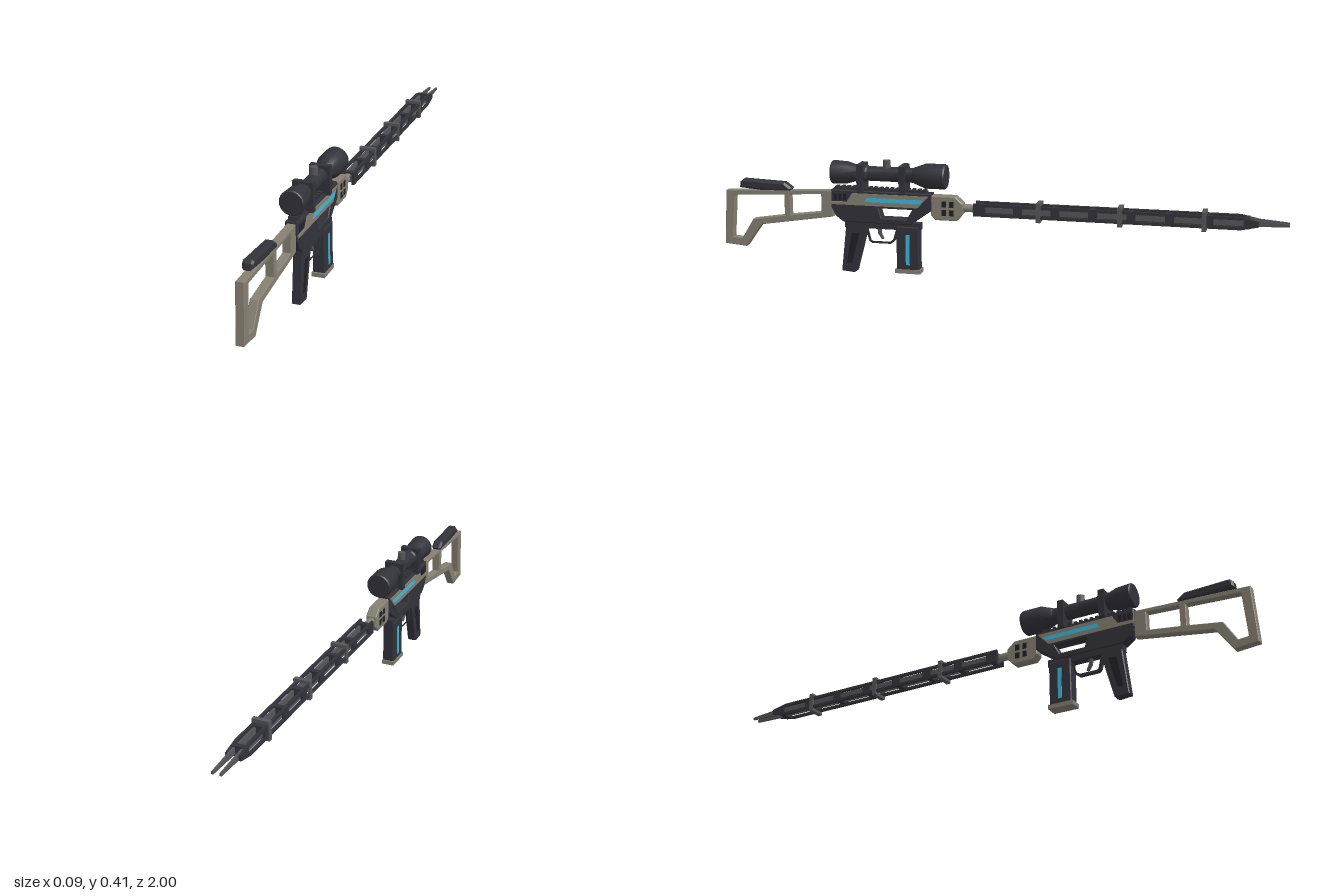
import * as THREE from 'three';
import { toCreasedNormals } from 'three/addons/utils/BufferGeometryUtils.js';

export function createModel() {
  const root = new THREE.Group();
  root.name = 'rifle';
  const mat = (name, color) => {
    const m = new THREE.MeshStandardMaterial({ color });
    m.name = name;
    return m;
  };
  const dark = mat('charcoal', 0x32323a);
  const tan = mat('warm grey', 0x868072);
  const steel = mat('steel grey', 0x56565a);
  const black = mat('recess black', 0x202026);
  const cyan = mat('cyan glow', 0x3cb8dc);

  const add = (name, geo, m, x = 0, y = 0, z = 0) => {
    const mesh = new THREE.Mesh(geo, m);
    mesh.name = name;
    mesh.position.set(x, y, z);
    root.add(mesh);
    return mesh;
  };
  const box = (name, m, w, h, d, x, y, z) => add(name, new THREE.BoxGeometry(w, h, d), m, x, y, z);
  const toShape = (pts, holes = []) => {
    const s = new THREE.Shape(pts.map(p => new THREE.Vector2(...p)));
    for (const h of holes) s.holes.push(new THREE.Path(h.map(p => new THREE.Vector2(...p))));
    return s;
  };
  // Side profile given as [z, y], extruded to a total width along x
  const slab = (name, m, width, pts, holes = [], x = 0, bevel = 0) => {
    const depth = width - 2 * bevel;
    const geo = new THREE.ExtrudeGeometry(toShape(pts, holes), {
      depth, bevelEnabled: bevel > 0, bevelSize: bevel, bevelOffset: -bevel,
      bevelThickness: bevel, bevelSegments: 1,
    });
    geo.translate(0, 0, -depth / 2);
    geo.rotateY(-Math.PI / 2);
    return add(name, geo, m, x);
  };
  const rect = (z0, z1, y0, y1) => [[z0, y0], [z1, y0], [z1, y1], [z0, y1]];
  const bothSides = fn => [-1, 1].forEach(fn);
  // Lathe around z, profile given as [radius, z]
  const turned = (name, m, profile, y, segments = 24) => {
    const geo = new THREE.LatheGeometry(profile.map(p => new THREE.Vector2(...p)), segments);
    geo.rotateX(Math.PI / 2);
    return add(name, toCreasedNormals(geo, 0.5), m, 0, y);
  };

  // Skeleton stock
  slab('stock', tan, 0.029,
    [[0.987, 0.278], [1, 0.08], [0.918, 0.073], [0.858, 0.157], [0.585, 0.2], [0.585, 0.294]],
    [
      [[0.955, 0.262], [0.767, 0.272], [0.767, 0.195], [0.888, 0.176], [0.933, 0.103], [0.968, 0.106]],
      [[0.745, 0.273], [0.628, 0.279], [0.628, 0.214], [0.745, 0.198]],
    ], 0, 0.002);
  slab('cheekRest', dark, 0.036,
    [[0.935, 0.29], [0.932, 0.311], [0.92, 0.321], [0.765, 0.315], [0.738, 0.295], [0.745, 0.283], [0.85, 0.283]],
    [], 0, 0.007);

  // Receiver with a through opening
  slab('receiver', dark, 0.042,
    [[0.588, 0.3], [0.588, 0.235], [0.572, 0.205], [0.545, 0.185], [0.3, 0.185], [0.222, 0.24], [0.222, 0.3]],
    [[[0.415, 0.24], [0.292, 0.24], [0.312, 0.205], [0.405, 0.205]]], 0, 0.003);
  slab('lowerFrame', dark, 0.034, rect(0.265, 0.54, 0.165, 0.19));
  bothSides(s => {
    slab('sidePanel', tan, 0.004,
      [[0.51, 0.291], [0.232, 0.291], [0.272, 0.248], [0.586, 0.248], [0.586, 0.258], [0.53, 0.26]], [], s * 0.022);
    slab('sideLight', cyan, 0.003,
      [[0.455, 0.277], [0.25, 0.277], [0.265, 0.262], [0.465, 0.262]], [], s * 0.0235);
    for (let i = 0; i < 3; i++)
      box('rearVent', black, 0.003, 0.022, 0.01, s * 0.021, 0.276, 0.538 + i * 0.017);
  });

  // Toothed top rail
  box('topRail', dark, 0.026, 0.008, 0.34, 0, 0.302, 0.41);
  for (let i = 0; i < 17; i++)
    box('railTooth', dark, 0.03, 0.007, 0.011, 0, 0.308, 0.25 + i * 0.02);

  // Scope, mounts and turret
  turned('scope', dark, [
    [0, 0.172], [0.041, 0.172], [0.044, 0.177], [0.044, 0.245], [0.029, 0.285], [0.026, 0.29],
    [0.026, 0.455], [0.03, 0.46], [0.03, 0.5], [0.039, 0.53], [0.042, 0.582], [0.039, 0.586], [0, 0.586],
  ], 0.36);
  for (const z of [0.325, 0.478]) {
    box('scopeMount', dark, 0.07, 0.1, 0.022, 0, 0.345, z);
  }
  const turret = new THREE.CylinderGeometry(0.014, 0.014, 0.04, 12);
  add('scopeTurret', turret, steel, 0, 0.39, 0.387);

  // Grip
  slab('grip', dark, 0.032,
    [[0.537, 0.175], [0.46, 0.175], [0.464, 0.15], [0.503, 0.004], [0.512, 0], [0.557, 0.004], [0.555, 0.02]], [], 0, 0.003);
  bothSides(s => slab('gripInset', black, 0.003,
    [[0.517, 0.145], [0.488, 0.145], [0.517, 0.035], [0.537, 0.035]], [], s * 0.0155));

  // Trigger guard and trigger
  slab('triggerGuard', dark, 0.014,
    [[0.47, 0.17], [0.455, 0.118], [0.445, 0.11], [0.375, 0.11], [0.36, 0.122], [0.345, 0.17]],
    [[[0.457, 0.166], [0.447, 0.122], [0.442, 0.118], [0.378, 0.118], [0.367, 0.126], [0.355, 0.166]]]);
  slab('trigger', steel, 0.01,
    [[0.425, 0.17], [0.41, 0.17], [0.412, 0.148], [0.402, 0.126], [0.409, 0.125], [0.422, 0.145]]);

  // Magazine
  slab('magazine', dark, 0.042, rect(0.27, 0.351, 0.018, 0.178), [], 0, 0.003);
  box('magazineBase', tan, 0.046, 0.015, 0.092, 0, 0.016, 0.311);
  bothSides(s => box('magazineLight', cyan, 0.004, 0.11, 0.014, s * 0.021, 0.095, 0.31));

  // Front block with vent slots
  slab('frontBlock', tan, 0.038,
    [[0.225, 0.294], [0.138, 0.294], [0.11, 0.27], [0.11, 0.232], [0.132, 0.208], [0.21, 0.208], [0.225, 0.225]], [], 0, 0.003);
  bothSides(s => {
    for (const z of [0.15, 0.178])
      for (const y of [0.236, 0.266])
        box('ventSlot', black, 0.003, 0.021, 0.016, s * 0.019, y, z);
  });
  const neck = new THREE.CylinderGeometry(0.014, 0.014, 0.06, 16).rotateX(Math.PI / 2);
  add('barrelNeck', neck, tan, 0, 0.253, 0.09);

  // Twin barrel rails ending in tapered prongs, inside slotted side plates
  const slots = [];
  for (let i = 0; i < 7; i++) slots.push(rect(-0.07 - i * 0.13, 0.03 - i * 0.13, 0.241, 0.265));
  bothSides(s => {
    slab('barrelRail', steel, 0.007,
      [[0.075, 0.263], [0.075, 0.243], [-0.88, 0.243], [-1, 0.247], [-1, 0.256], [-0.88, 0.266]], [], s * 0.0135);
    slab('barrelPlate', dark, 0.009,
      [[0.072, 0.275], [0.072, 0.231], [-0.84, 0.231], [-0.9, 0.244], [-0.9, 0.262], [-0.84, 0.275]], slots, s * 0.022);
  });
  for (let i = 0; i < 8; i++)
    box('barrelRung', dark, 0.046, 0.036, 0.018, 0, 0.253, 0.05 - i * 0.13);

  // Square frames clamping the barrel
  for (const z of [-0.157, -0.437, -0.72]) {
    bothSides(s => {
      box('frameSide', steel, 0.007, 0.067, 0.016, s * 0.026, 0.253, z);
      box('frameBar', steel, 0.052, 0.011, 0.016, 0, 0.253 + s * 0.028, z);
    });
  }
  return root;
}
